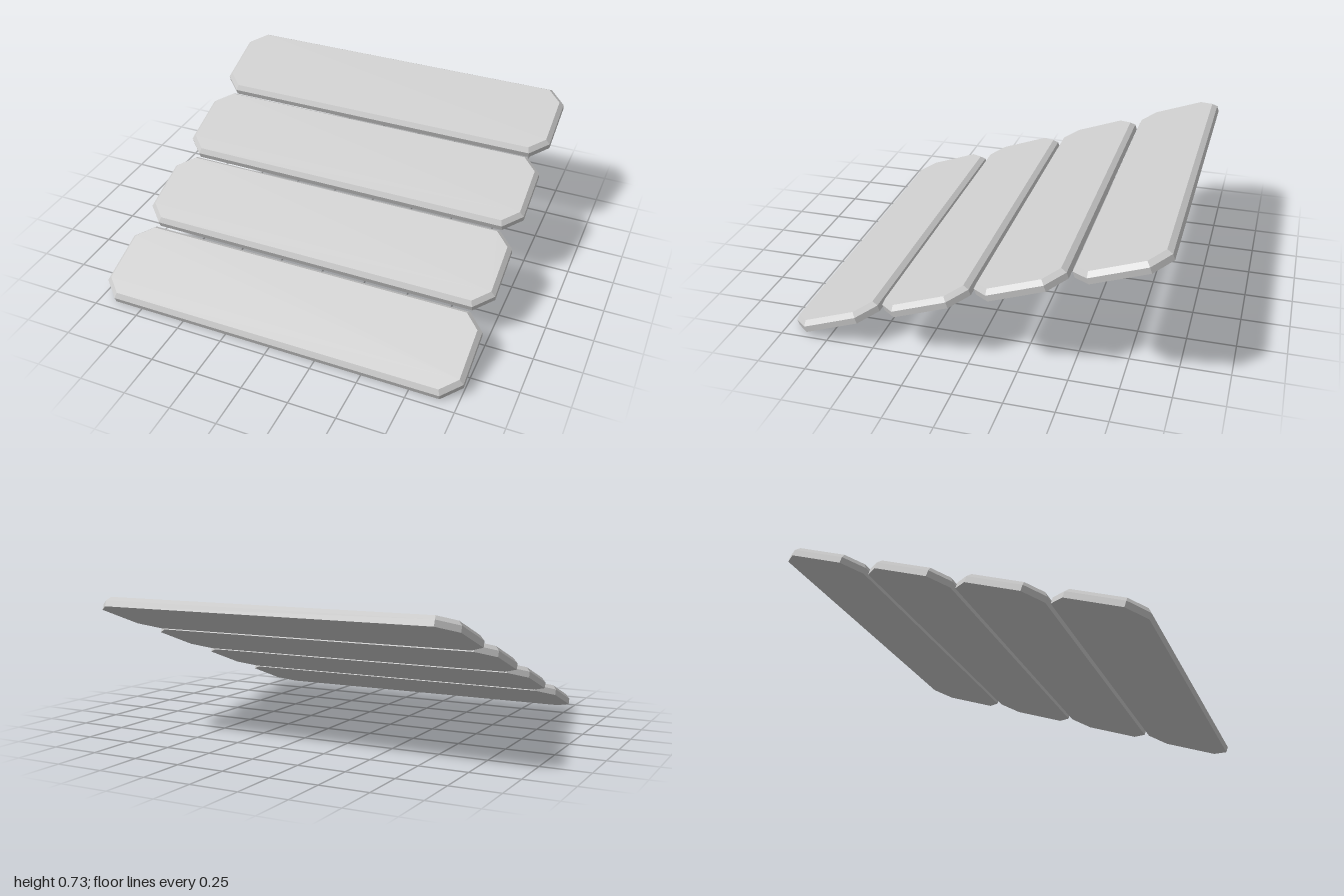
import * as THREE from 'three';

const TILT = 0.3447;     // slope of the whole row of planks
const PITCH = 0.5115;    // spacing along the slope
const HALF_W = 1, HALF_D = 0.2415;
const WALL = 0.032, BEVEL_H = 0.024, INSET = 0.022, CHAMFER = 0.092;

// Octagonal outline with clipped corners, anticlockwise seen from above
function ring(y, inset) {
  const w = HALF_W - inset, d = HALF_D - inset;
  const c = CHAMFER - inset * (2 - Math.SQRT2);
  return [
    [w, d - c], [w, c - d], [w - c, -d], [c - w, -d],
    [-w, c - d], [-w, d - c], [c - w, d], [w - c, d],
  ].map(([x, z]) => new THREE.Vector3(x, y, z));
}

// Straight wall, bevelled upper rim, flat top and bottom
function plankGeometry() {
  const rings = [ring(0, 0), ring(WALL, 0), ring(WALL + BEVEL_H, INSET)];
  const pts = [];
  for (let r = 0; r < 2; r++) {
    const lo = rings[r], hi = rings[r + 1];
    for (let i = 0; i < 8; i++) {
      const j = (i + 1) % 8;
      pts.push(lo[i], lo[j], hi[j], lo[i], hi[j], hi[i]);
    }
  }
  for (let i = 1; i < 7; i++) {
    pts.push(rings[2][0], rings[2][i], rings[2][i + 1]);
    pts.push(rings[0][0], rings[0][i + 1], rings[0][i]);
  }
  const geometry = new THREE.BufferGeometry().setFromPoints(pts);
  geometry.computeVertexNormals();
  return geometry;
}

export function createModel() {
  const model = new THREE.Group();
  model.name = 'slopedPlanks';
  const material = new THREE.MeshStandardMaterial({ color: 0xcccccc, flatShading: true });
  const geometry = plankGeometry();

  // Four planks in a row, tilted together so the back is raised
  const row = new THREE.Group();
  row.name = 'plankRow';
  for (let i = 0; i < 4; i++) {
    const plank = new THREE.Mesh(geometry, material);
    plank.name = `plank${i + 1}`;
    plank.position.z = (1.5 - i) * PITCH;
    row.add(plank);
  }
  row.rotation.x = TILT;
  row.position.set(0, (1.5 * PITCH + HALF_D) * Math.sin(TILT), -WALL * Math.sin(TILT) / 2);
  model.add(row);
  return model;
}
